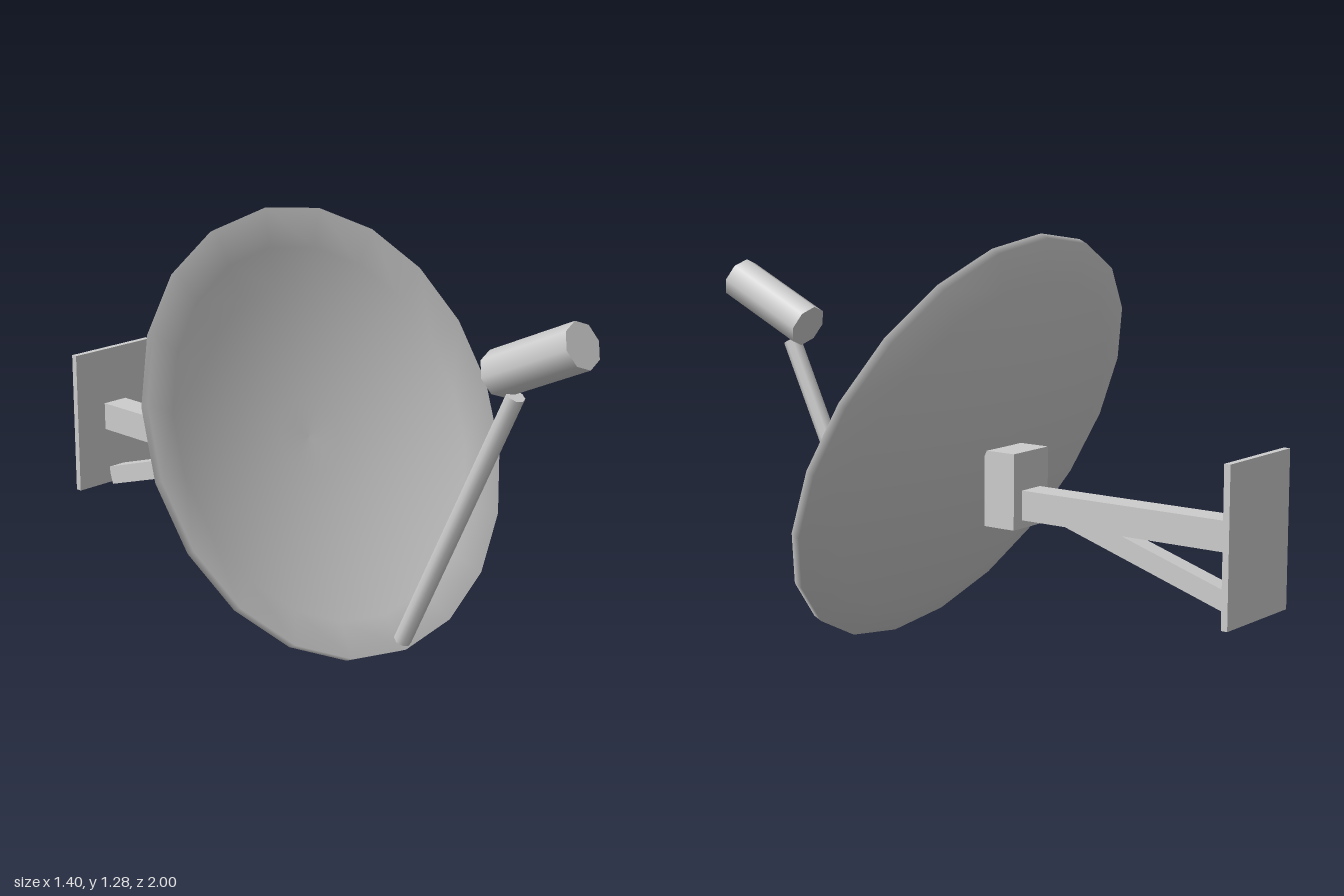
import * as THREE from 'three';

const paint = new THREE.MeshStandardMaterial({ color: 0xcccccc });
paint.name = 'light grey paint';

function add(group, name, geometry) {
  const mesh = new THREE.Mesh(geometry, paint);
  mesh.name = name;
  group.add(mesh);
  return mesh;
}

// Box given by its extents in y and z, centred on x
function box(group, name, width, y0, y1, z0, z1) {
  add(group, name, new THREE.BoxGeometry(width, y1 - y0, z1 - z0))
    .position.set(0, (y0 + y1) / 2, (z0 + z1) / 2);
}

// Eight-sided rod between two points [y, z] in the x = 0 plane
function rod(group, name, radius, [y0, z0], [y1, z1]) {
  const length = Math.hypot(y1 - y0, z1 - z0);
  const mesh = add(group, name, new THREE.CylinderGeometry(radius, radius, length, 8));
  mesh.position.set(0, (y0 + y1) / 2, (z0 + z1) / 2);
  mesh.rotation.x = Math.atan2(z1 - z0, y1 - y0);
}

export function createModel() {
  const group = new THREE.Group();

  // Parabolic dish: back surface outward, then front surface inward
  const R = 0.7, rings = 6, depth = 0.125, halfRim = 0.015;
  const profile = [];
  for (let i = 0; i <= rings; i++) {
    const t = i / rings;
    profile.push(new THREE.Vector2(R * t, -halfRim - depth * (1 - t * t)));
  }
  for (let i = rings; i >= 0; i--) {
    const t = i / rings;
    profile.push(new THREE.Vector2(R * t, halfRim - depth * (1 - t * t)));
  }
  const dish = add(group, 'dish', new THREE.LatheGeometry(profile, 20));
  dish.position.set(0, 0.645, 0.035);
  dish.rotation.x = THREE.MathUtils.degToRad(65);

  // Receiver on its arm
  rod(group, 'feedArm', 0.028, [0.045, 0.33], [0.895, 0.742]);
  rod(group, 'receiver', 0.07, [0.946, 0.674], [1.082, 0.967]);

  // Wall mount
  box(group, 'dishBracket', 0.17, 0.41, 0.64, -0.215, -0.105);
  box(group, 'mountArm', 0.09, 0.435, 0.525, -0.98, -0.215);
  box(group, 'wallPlate', 0.32, 0.245, 0.71, -1, -0.98);

  // Diagonal brace under the arm
  const brace = add(group, 'brace', new THREE.BoxGeometry(0.06, 0.06, 0.66));
  brace.position.set(0, 0.368, -0.662);
  brace.rotation.x = -0.305;

  return group;
}
